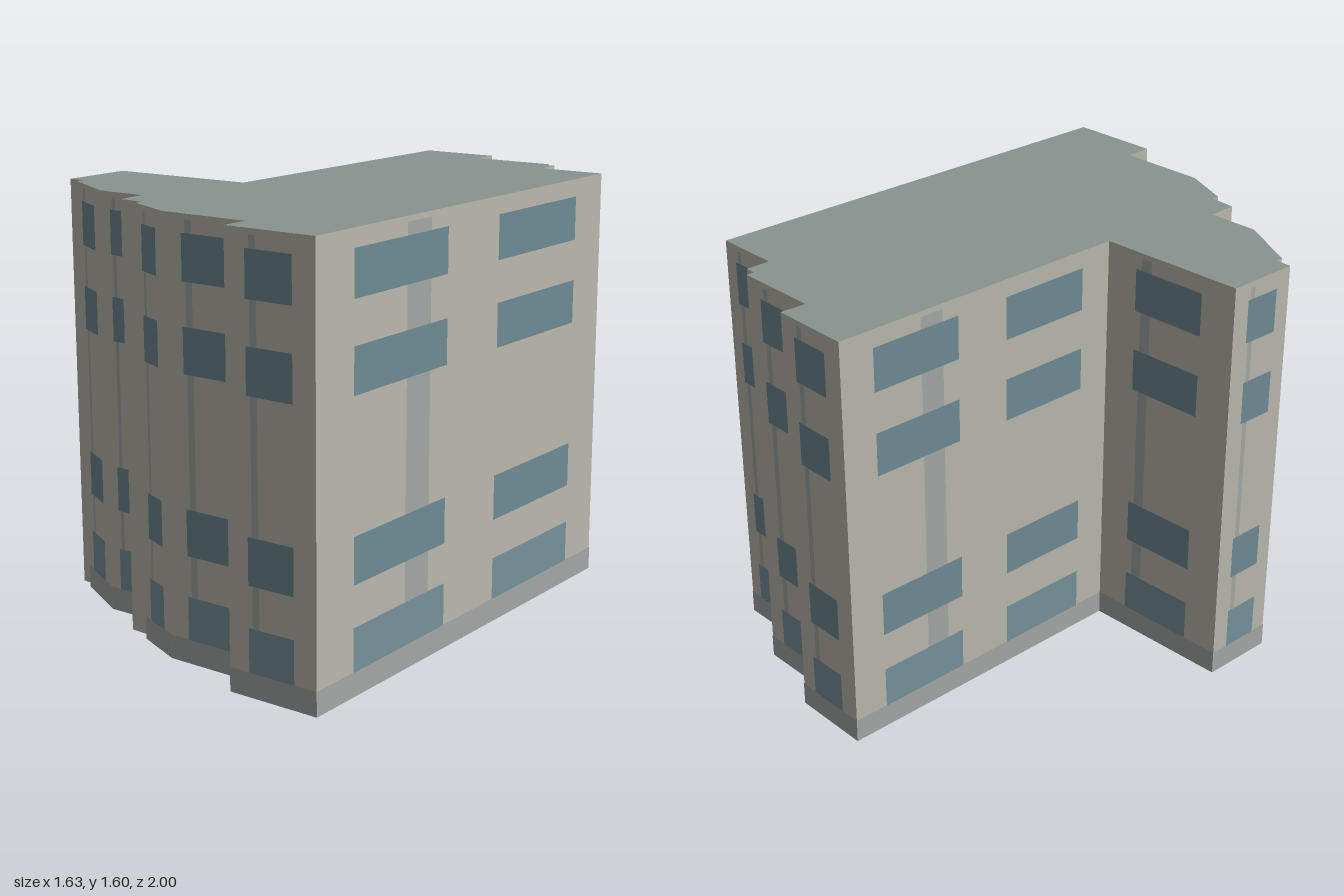
import * as THREE from 'three';

const HEIGHT = 1.6;
const PLINTH = 0.09;

// footprint as [x, z], walked left to right along the front, then round the back
const FOOTPRINT = [
  [-0.813, 0.365], [-0.775, 0.65], [-0.71, 0.643], [-0.708, 0.672], [-0.45, 0.77],
  [-0.25, 0.743], [-0.23, 0.857], [-0.127, 0.85], [-0.123, 0.88], [0.083, 0.937],
  [0.437, 0.89], [0.45, 0.995], [0.812, 0.945], [0.573, -0.86], [0.315, -0.825],
  [0.3, -0.92], [0.26, -0.915], [0.255, -0.945], [-0.075, -0.9], [-0.085, -1],
  [-0.395, -0.96], [-0.23, 0.27],
];
// bottom and top of each window row
const ROWS = [[0.09, 0.25], [0.4, 0.57], [1.05, 1.215], [1.37, 1.535]];

const material = (color, side = THREE.FrontSide) => new THREE.MeshStandardMaterial({ color, side });

export function createModel() {
  const model = new THREE.Group();
  model.name = 'building';
  const wallMat = material(0xbab8ad, THREE.DoubleSide);
  const roofMat = material(0x89938f, THREE.DoubleSide);
  const trimMat = material(0xa3a7a5);
  const glassMat = material(0x6f8b95);
  const groundGlassMat = material(0x78929b);

  // flat panel on a facade: u0..u1 along the wall (0..1), y0..y1 in height
  function panel(facade, name, mat, u0, u1, y0, y1, offset) {
    const len = facade.userData.length;
    const mesh = new THREE.Mesh(new THREE.PlaneGeometry((u1 - u0) * len, y1 - y0), mat);
    mesh.position.set(((u0 + u1) / 2) * len, (y0 + y1) / 2, offset);
    mesh.name = name;
    facade.add(mesh);
  }

  FOOTPRINT.forEach(([x, z], i) => {
    const [nx, nz] = FOOTPRINT[(i + 1) % FOOTPRINT.length];
    const length = Math.hypot(nx - x, nz - z);
    const facade = new THREE.Group();
    facade.name = 'facade';
    facade.userData.length = length;
    facade.position.set(x, 0, z);
    facade.rotation.y = Math.atan2(z - nz, nx - x);
    model.add(facade);

    panel(facade, 'wall', wallMat, 0, 1, 0, HEIGHT, 0);
    if (length < 0.15) return; // narrow returns stay plain

    // plinth, downpipe strip and windows
    panel(facade, 'plinth', trimMat, 0, 1, 0, PLINTH, 0.002);
    panel(facade, 'verticalStrip', trimMat, 0.277, 0.355, PLINTH, 1.58, 0.002);
    const columns = length > 0.9 ? [[0.11, 0.41], [0.59, 0.89]] : [[0.235, 0.755]];
    for (const [u0, u1] of columns) {
      ROWS.forEach(([y0, y1], row) =>
        panel(facade, 'window', row ? glassMat : groundGlassMat, u0, u1, y0, y1, 0.004));
    }
  });

  // flat roof
  const outline = new THREE.Shape(FOOTPRINT.map(([x, z]) => new THREE.Vector2(x, -z)));
  const roof = new THREE.Mesh(new THREE.ShapeGeometry(outline).rotateX(-Math.PI / 2), roofMat);
  roof.position.y = HEIGHT;
  roof.name = 'roof';
  model.add(roof);

  return model;
}
